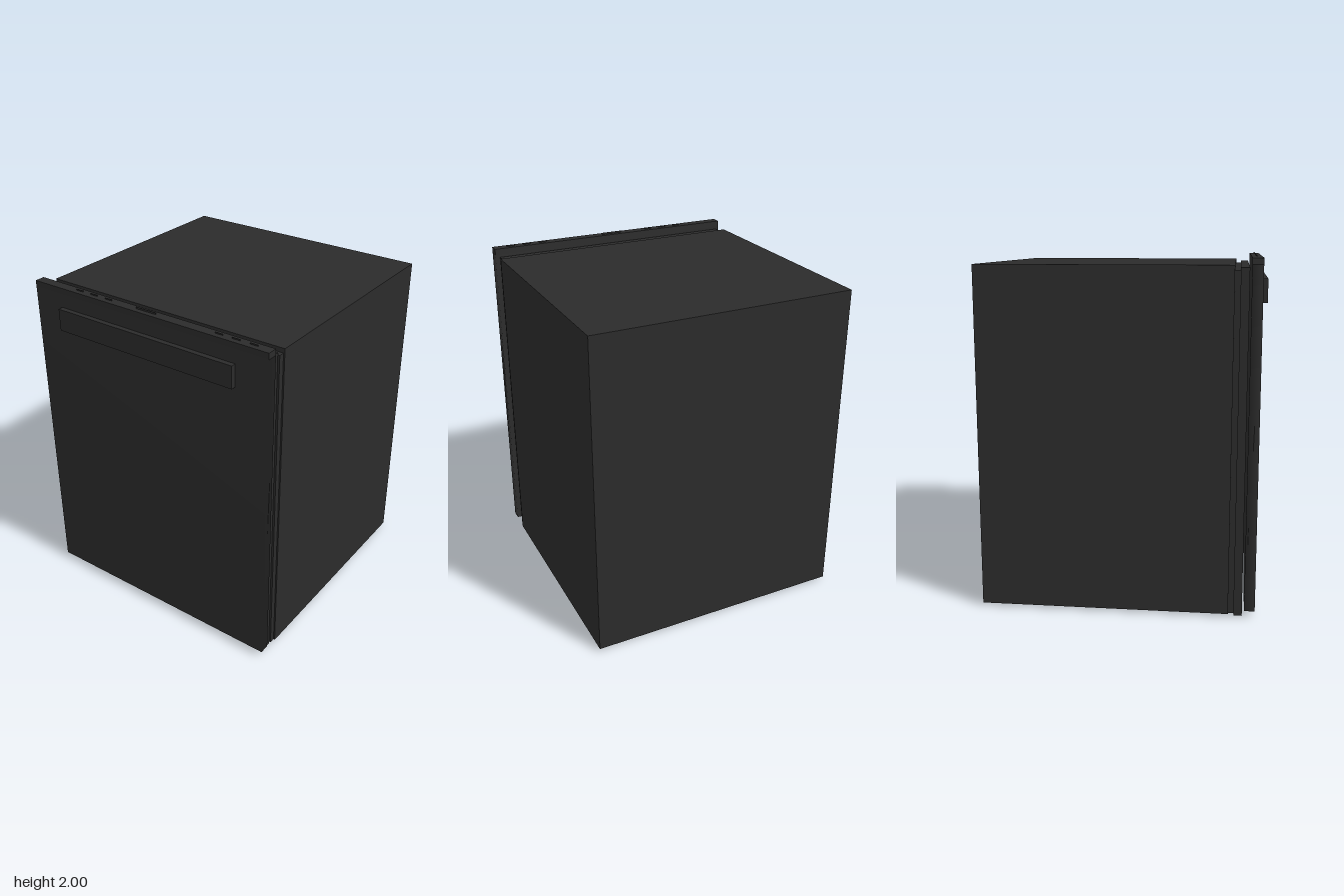
import * as THREE from 'three';
import { mergeVertices } from 'three/addons/utils/BufferGeometryUtils.js';

export function createModel() {
  const model = new THREE.Group();
  model.name = 'dishwasher';
  const black = new THREE.MeshStandardMaterial({ color: 0x2b2b2b });

  // Box given by its extents along each axis
  function block(name, [x0, x1], [y0, y1], [z0, z1], smooth = false) {
    let geometry = new THREE.BoxGeometry(x1 - x0, y1 - y0, z1 - z0);
    if (smooth) {
      // Shared corner normals give the soft sheen across the panel
      geometry.deleteAttribute('uv');
      geometry.deleteAttribute('normal');
      geometry = mergeVertices(geometry);
      geometry.computeVertexNormals();
    }
    const mesh = new THREE.Mesh(geometry, black);
    mesh.name = name;
    mesh.position.set((x0 + x1) / 2, (y0 + y1) / 2, (z0 + z1) / 2);
    model.add(mesh);
  }

  // Cabinet with the two stepped rims behind the door
  block('cabinet', [-0.78, 0.78], [0.015, 1.953], [-0.795, 0.617]);
  block('cabinetRim', [-0.772, 0.772], [0.018, 1.927], [0.617, 0.65]);
  block('innerDoor', [-0.76, 0.76], [0, 1.94], [0.648, 0.695]);

  // Front panel, the control strip on top of it and the handle
  block('doorPanel', [-0.785, 0.785], [0.04, 1.955], [0.706, 0.766], true);
  block('controlStrip', [-0.785, 0.785], [1.955, 1.99], [0.706, 0.766]);
  block('handle', [-0.592, 0.588], [1.745, 1.875], [0.766, 0.796]);

  // Thin raised controls along the top edge
  block('display', [-0.07, 0.063], [1.99, 2], [0.732, 0.736]);
  for (const x of [-0.475, -0.37, -0.265, 0.467, 0.572, 0.677]) {
    block('button', [x - 0.024, x + 0.024], [1.99, 1.997], [0.732, 0.736]);
  }

  return model;
}
